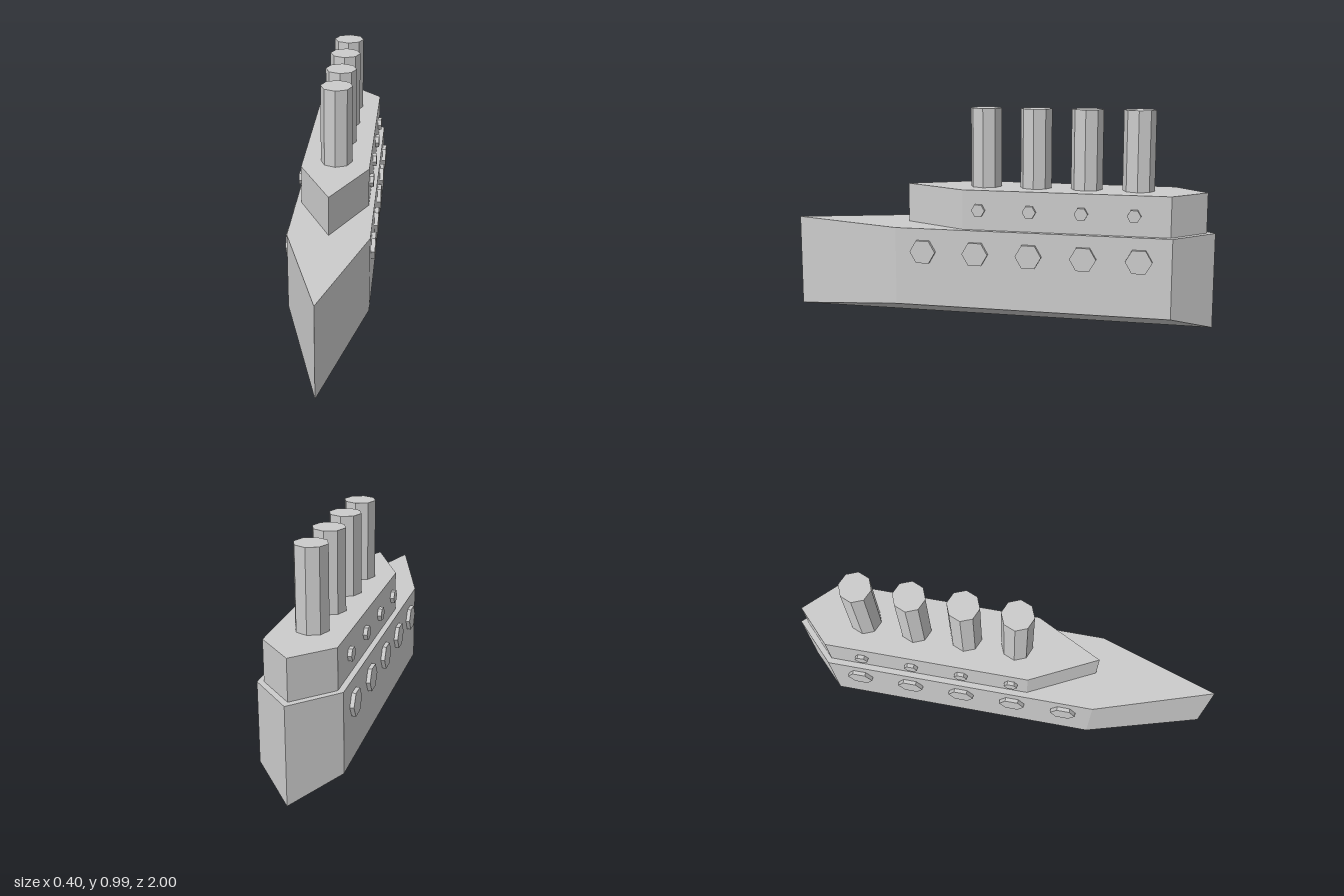
import * as THREE from 'three';

const grey = new THREE.MeshStandardMaterial({ color: 0xcccccc });
grey.name = 'light grey';

// Symmetric pointed deck block. outline runs bow to stern on the +x side as [x, z, bottomY].
function deckBlock(outline, topY) {
  const top = outline.map(([x, z]) => [x, topY, z]);
  const low = outline.map(([x, z, y]) => [x, y, z]);
  const faces = [top, [...low].reverse()];
  for (let i = 0; i < outline.length - 1; i++) {
    faces.push([low[i], low[i + 1], top[i + 1], top[i]]);
  }
  const positions = [];
  for (const [a, b, c, d] of faces) {
    for (const p of [a, b, c, a, c, d]) positions.push(...p);
    for (const [x, y, z] of [a, c, b, a, d, c]) positions.push(-x, y, z);
  }
  const geometry = new THREE.BufferGeometry();
  geometry.setAttribute('position', new THREE.Float32BufferAttribute(positions, 3));
  geometry.computeVertexNormals();
  return geometry;
}

// Low-poly prism with flat facets
function prism(radius, height, sides) {
  const geometry = new THREE.CylinderGeometry(radius, radius, height, sides).toNonIndexed();
  geometry.computeVertexNormals();
  return geometry;
}

export function createModel() {
  const ship = new THREE.Group();
  ship.name = 'ship';

  function add(name, geometry, x = 0, y = 0, z = 0) {
    const mesh = new THREE.Mesh(geometry, grey);
    mesh.name = name;
    mesh.position.set(x, y, z);
    ship.add(mesh);
  }

  // Hull with a shallow V bottom and the upper deck house
  add('hull', deckBlock([[0, 1, 0], [0.181, 0.447, 0.075], [0.181, -0.82, 0.075], [0, -1, 0]], 0.437));
  add('deckHouse', deckBlock([[0, 0.437, 0.437], [0.155, 0.132, 0.437], [0.155, -0.81, 0.437], [0, -0.962, 0.437]], 0.62));

  // Four octagonal funnels
  const funnel = prism(0.073, 0.365, 8);
  for (let i = 0; i < 4; i++) add('funnel', funnel, 0, 0.8025, 0.055 - i * 0.236);

  // Hexagonal portholes along both sides
  const hullPorthole = prism(0.06, 0.04, 6).rotateZ(Math.PI / 2);
  const housePorthole = prism(0.031, 0.04, 6).rotateZ(Math.PI / 2);
  for (const side of [-1, 1]) {
    for (let i = 0; i < 5; i++) add('hullPorthole', hullPorthole, side * 0.179, 0.33, 0.314 - i * 0.2475);
    for (let i = 0; i < 4; i++) add('housePorthole', housePorthole, side * 0.153, 0.529, 0.056 - i * 0.235);
  }
  return ship;
}
